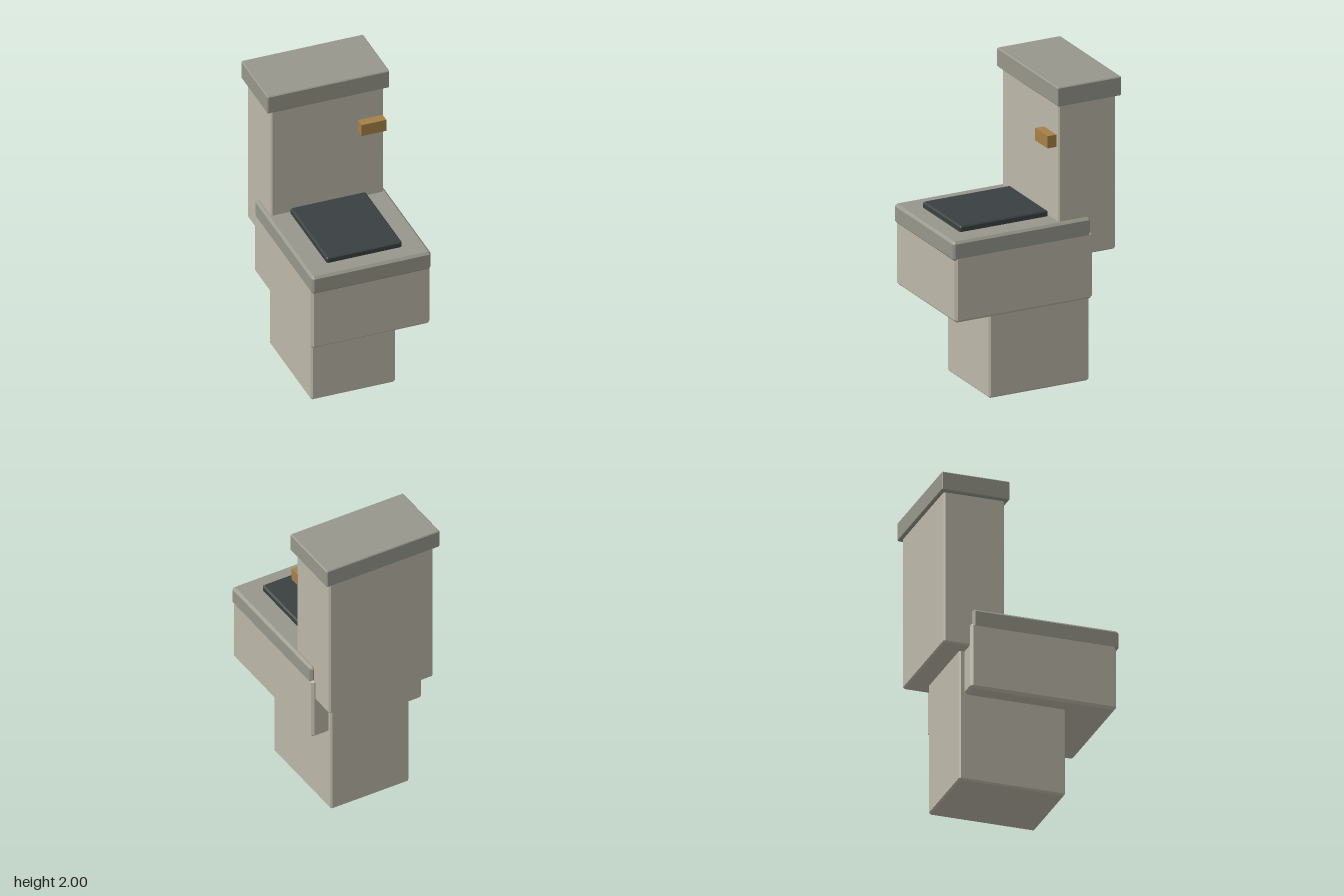
import * as THREE from 'three';
import { ConvexGeometry } from 'three/addons/geometries/ConvexGeometry.js';

const material = (name, color) => {
  const m = new THREE.MeshStandardMaterial({ color });
  m.name = name;
  return m;
};

// Box with flat chamfers: each corner becomes three points, one per face
function chamferedBox(w, h, d, c) {
  const points = [];
  for (const x of [-1, 1]) for (const y of [-1, 1]) for (const z of [-1, 1]) {
    for (let axis = 0; axis < 3; axis++) {
      const inset = [c, c, c];
      inset[axis] = 0;
      points.push(new THREE.Vector3(
        x * (w / 2 - inset[0]), y * (h / 2 - inset[1]), z * (d / 2 - inset[2])));
    }
  }
  return new ConvexGeometry(points);
}

export function createModel() {
  const group = new THREE.Group();
  group.name = 'toilet';
  const ceramic = material('warm ceramic', 0xbcb7a8);
  const trim = material('grey trim', 0x97978c);
  const dark = material('dark slate', 0x3a4041);
  const brass = material('brass', 0xa68045);

  // Each part is given by its extents along x, y and z
  function part(name, mat, [x0, x1], [y0, y1], [z0, z1], chamfer) {
    const w = x1 - x0, h = y1 - y0, d = z1 - z0;
    const geometry = chamfer ? chamferedBox(w, h, d, chamfer) : new THREE.BoxGeometry(w, h, d);
    const mesh = new THREE.Mesh(geometry, mat);
    mesh.name = name;
    mesh.position.set((x0 + x1) / 2, (y0 + y1) / 2, (z0 + z1) / 2);
    group.add(mesh);
  }

  // Pedestal and bowl
  part('pedestal', ceramic, [-0.278, 0.278], [0, 0.9], [-0.421, 0.27], 0.011);
  part('bowl', ceramic, [-0.392, 0.392], [0.578, 1.015], [-0.387, 0.564], 0.016);

  // Seat rim and the dark panel on it
  part('seat', trim, [-0.393, 0.393], [0.984, 1.11], [-0.373, 0.579], 0.015);
  part('seatPanel', dark, [-0.248, 0.248], [1.1, 1.148], [-0.151, 0.456], 0.009);

  // Tank, its lid and the flush handle
  part('tank', ceramic, [-0.37, 0.37], [0.867, 1.89], [-0.556, -0.161], 0.01);
  part('tankLid', trim, [-0.402, 0.402], [1.876, 2], [-0.579, -0.138], 0.006);
  part('flushHandle', brass, [0.198, 0.361], [1.6, 1.68], [-0.15, -0.089], 0);

  return group;
}
